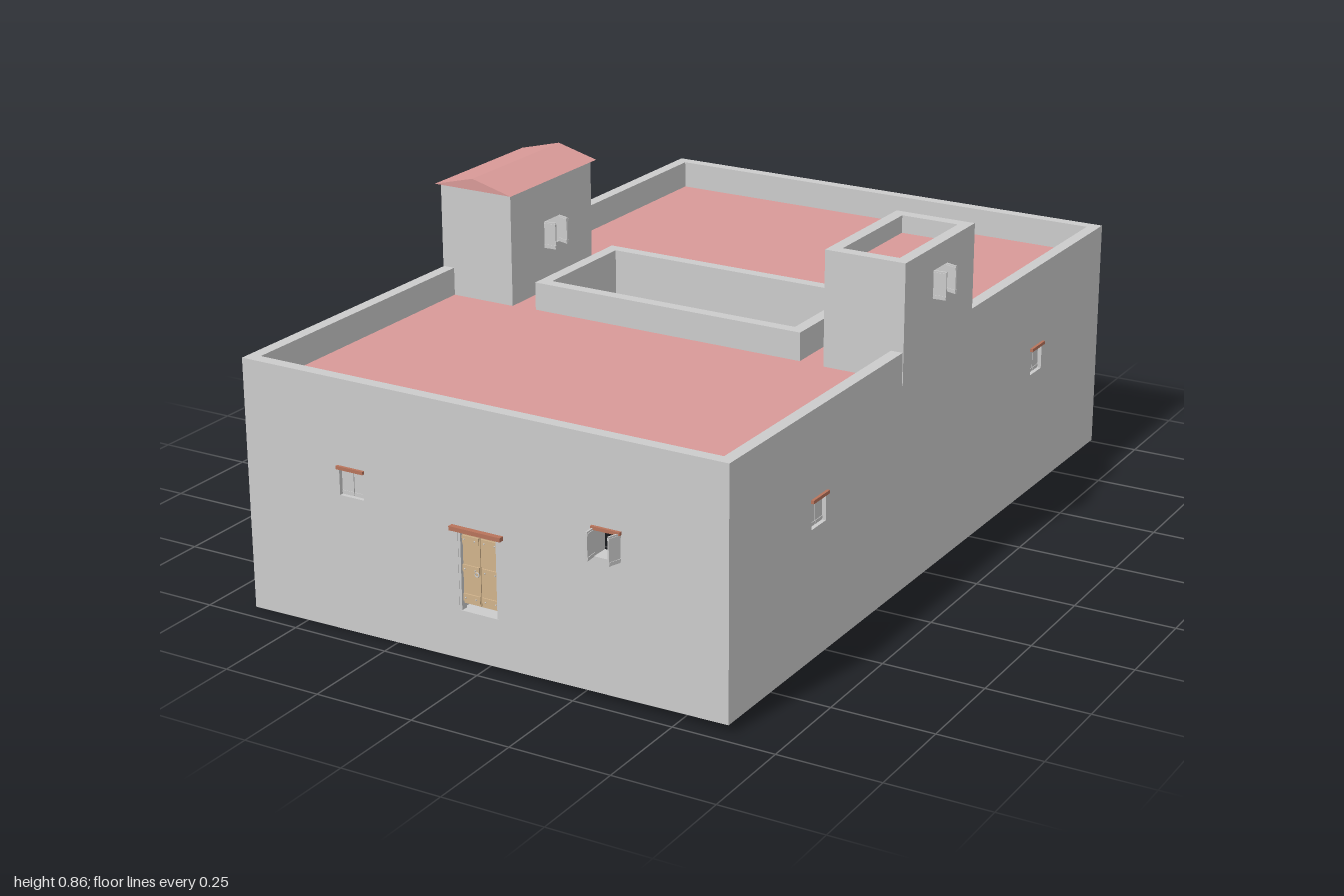
import * as THREE from 'three';

const mat = (color = 0xcccccc) =>
  new THREE.MeshStandardMaterial({ color, flatShading: true, side: THREE.DoubleSide });
const grey = mat(), red = mat(0xd99a98), gold = mat(0xb8860b), wood = mat(0xd2b48c), clay = mat(0xb8745c);

const W = 1.27, D = 1.93, TOP = 0.62, FLOOR = 0.13, CEIL = 0.52;

function add(parent, name, geometry, material, x = 0, y = 0, z = 0) {
  const mesh = new THREE.Mesh(geometry, material);
  mesh.name = name;
  mesh.position.set(x, y, z);
  parent.add(mesh);
  return mesh;
}

function box(parent, name, w, h, d, x, y, z, material = grey) {
  return add(parent, name, new THREE.BoxGeometry(w, h, d), material, x, y, z);
}

function group(parent, name, x = 0, y = 0, z = 0) {
  const g = new THREE.Group();
  g.name = name;
  g.position.set(x, y, z);
  parent.add(g);
  return g;
}

// Rectangle outline centred on x
function rect(Type, x, y, w, h) {
  return new Type([[-1, 0], [1, 0], [1, 1], [-1, 1]].map(([a, b]) => new THREE.Vector2(x + a * w / 2, y + b * h)));
}

// Upright wall panel with openings; its outer face lies on z = 0
function panel(w, y0, y1, t, openings) {
  const shape = rect(THREE.Shape, 0, y0, w, y1 - y0);
  for (const o of openings) shape.holes.push(rect(THREE.Path, o.x, o.y, o.w, o.h));
  return new THREE.ExtrudeGeometry(shape, { depth: t, bevelEnabled: false }).translate(0, 0, -t);
}

// Flat horizontal frame
function frame(w, d, holeW, holeD, thickness) {
  const shape = rect(THREE.Shape, 0, -d / 2, w, d);
  shape.holes.push(rect(THREE.Path, 0, -holeD / 2, holeW, holeD));
  return new THREE.ExtrudeGeometry(shape, { depth: thickness, bevelEnabled: false }).rotateX(-Math.PI / 2);
}

// Window: a pair of shutters, closed in the opening or swung outwards
function addWindow(parent, o) {
  const g = group(parent, 'window', o.x, o.y, 0);
  for (const s of [-1, 1]) {
    const hinge = group(g, 'shutter', s * o.w / 2, o.h / 2, o.open ? 0 : -0.012);
    hinge.rotation.y = o.open ? s * (s > 0 ? 1.25 : 1.5) : 0;
    const leaf = o.w / 2 - 0.001;
    box(hinge, 'shutterBoard', leaf, o.h, 0.004, -s * leaf / 2, 0, 0);
    for (const k of [-1, 1]) box(hinge, 'shutterRail', leaf, 0.006, 0.007, -s * leaf / 2, k * o.h * 0.4, 0);
  }
  if (o.lintel) box(g, 'windowLintel', o.w + 0.008, 0.008, 0.014, 0, o.h, 0, clay);
}

// Door: two planked leaves with rails, studs, ring handle and lintel
function addDoor(parent, o) {
  const g = group(parent, 'door', o.x, o.y, -0.014);
  for (const s of [-1, 1]) {
    const x = s * o.w / 4;
    box(g, 'doorLeaf', o.w / 2 - 0.002, o.h - 0.015, 0.008, x, o.h / 2 + 0.0075, 0, wood);
    for (const y of [0.03, 0.1, 0.17]) {
      box(g, 'doorRail', o.w / 2 - 0.006, 0.018, 0.004, x, y, 0.005, wood);
      for (const k of [-1, 1])
        add(g, 'doorStud', new THREE.SphereGeometry(0.002, 6, 4), grey, x + k * 0.014, y, 0.008);
    }
    box(g, 'doorJamb', 0.006, o.h, 0.018, s * (o.w / 2 - 0.003), o.h / 2, 0.004);
  }
  add(g, 'doorHandle', new THREE.TorusGeometry(0.005, 0.0015, 6, 12), grey, -0.008, 0.092, 0.008);
  box(g, 'doorLintel', o.w + 0.03, 0.01, 0.034, 0, o.h + 0.003, 0.01, clay);
}

// Four walls around a rectangle; front is +z, left is +x
function walls(parent, name, w, d, y0, y1, t, openings = {}) {
  const g = group(parent, name);
  const sides = [['front', 0, w, d], ['left', 1, d - 2 * t, w], ['back', 2, w, d], ['right', 3, d - 2 * t, w]];
  for (const [side, turn, length, span] of sides) {
    const wall = group(g, side + 'Wall');
    wall.rotation.y = turn * Math.PI / 2;
    const face = group(wall, side + 'Face', 0, 0, span / 2);
    const list = openings[side] || [];
    add(face, side + 'Masonry', panel(length, y0, y1, t, list), grey);
    for (const o of list) (o.door ? addDoor : addWindow)(face, o);
  }
  return g;
}

const win = (x, y, open = false, lintel = false) => ({ x, y, w: 0.066, h: 0.068, open, lintel });

export function createModel() {
  const model = new THREE.Group();
  model.name = 'courtyardHouse';
  const house = group(model, 'house', -0.004, 0, -0.004);
  house.rotation.y = -0.0115;

  // Main walls, with a thinner parapet above the roof
  walls(house, 'mainWalls', W, D, FLOOR, CEIL, 0.045, {
    front: [{ door: true, x: 0, y: FLOOR + 0.002, w: 0.106, h: 0.195 }, win(-0.34, 0.34, false, true), win(0.335, 0.34, true, true)],
    left: [win(-0.573, 0.34, false, true), win(0.573, 0.34, false, true)],
    back: [win(-0.32, 0.34, false, true), win(0.32, 0.34, true, true)],
    right: [win(-0.573, 0.34, true, true), win(0.573, 0.34, false, true)],
  });
  walls(house, 'parapet', W, D, CEIL, TOP, 0.03);

  // Thin foundation skirt whose lower edge follows sloping ground
  const skirt = group(house, 'foundation');
  for (const s of [-1, 1]) {
    for (const [w, d, x, z] of [[W, 0.004, 0, s * (D / 2 - 0.002)], [0.004, D - 0.008, s * (W / 2 - 0.002), 0]]) {
      const geo = new THREE.BoxGeometry(w, FLOOR, d).translate(x, FLOOR / 2, z);
      const p = geo.attributes.position;
      for (let i = 0; i < p.count; i++) if (p.getY(i) < 0.01) p.setY(i, 0.0145 + 0.016 * p.getX(i));
      geo.computeVertexNormals();
      add(skirt, 'foundationStrip', geo, grey);
    }
  }

  // Roof slab and tiled surface around the courtyard opening
  const cw = 0.735, cd = 0.35;
  add(house, 'ceiling', frame(W - 0.06, D - 0.06, cw - 0.06, cd - 0.06, 0.025), grey, 0, CEIL, 0);
  add(house, 'roofSurface', frame(W - 0.06, D - 0.06, cw - 0.01, cd - 0.01, 0.005), red, 0, CEIL + 0.025, 0);
  walls(house, 'courtyardParapet', cw, cd, 0.485, TOP, 0.03);

  // Courtyard galleries: lower and upper timber rings joined by columns
  const court = group(house, 'courtyard');
  add(court, 'lowerGallery', frame(0.83, 0.46, 0.664, 0.295, 0.03), gold, 0, 0.14, 0);
  add(court, 'upperGallery', frame(0.83, 0.46, 0.664, 0.295, 0.035), gold, 0, 0.45, 0);
  const spots = [];
  for (const s of [-1, 1]) {
    for (let i = 0; i < 8; i++) spots.push([-0.37 + i * 0.74 / 7, s * 0.187]);
    for (const z of [-0.062, 0.062]) spots.push([s * 0.37, z]);
  }
  for (const [x, z] of spots) {
    const column = group(court, 'column', x, 0.17, z);
    box(column, 'columnBase', 0.034, 0.014, 0.034, 0, 0.007, 0);
    add(column, 'columnShaft', new THREE.CylinderGeometry(0.01, 0.0125, 0.245, 10), grey, 0, 0.135, 0);
    add(column, 'columnNeck', new THREE.CylinderGeometry(0.017, 0.01, 0.014, 10), grey, 0, 0.259, 0);
    box(column, 'columnCapital', 0.036, 0.014, 0.036, 0, 0.273, 0);
  }

  // Flat tower with its own sunken roof
  const tw = 0.205, td = 0.36, y0 = 0.54, y1 = 0.833;
  const flat = group(house, 'flatTower', W / 2 - tw / 2 + 0.002, 0, 0);
  walls(flat, 'flatTowerWalls', tw, td, y0, y1, 0.03, {
    left: [win(0, 0.708, true)],
    right: [win(0, 0.66, true)],
  });
  box(flat, 'flatTowerRoof', tw - 0.06, 0.01, td - 0.06, 0, 0.785, 0, red);

  // Gabled tower
  const gabled = group(house, 'gabledTower', -W / 2 + tw / 2 - 0.002, 0, 0);
  walls(gabled, 'gabledTowerWalls', tw, td, y0, y1, 0.03, {
    left: [win(0, 0.66, true)],
    right: [win(0, 0.708)],
  });
  const gable = new THREE.Shape([[-0.112, 0], [0.112, 0], [0, 0.029]].map(p => new THREE.Vector2(...p)));
  add(gabled, 'gabledRoof', new THREE.ExtrudeGeometry(gable, { depth: 0.384, bevelEnabled: false }), red, 0, 0.833, -0.192);

  return model;
}
